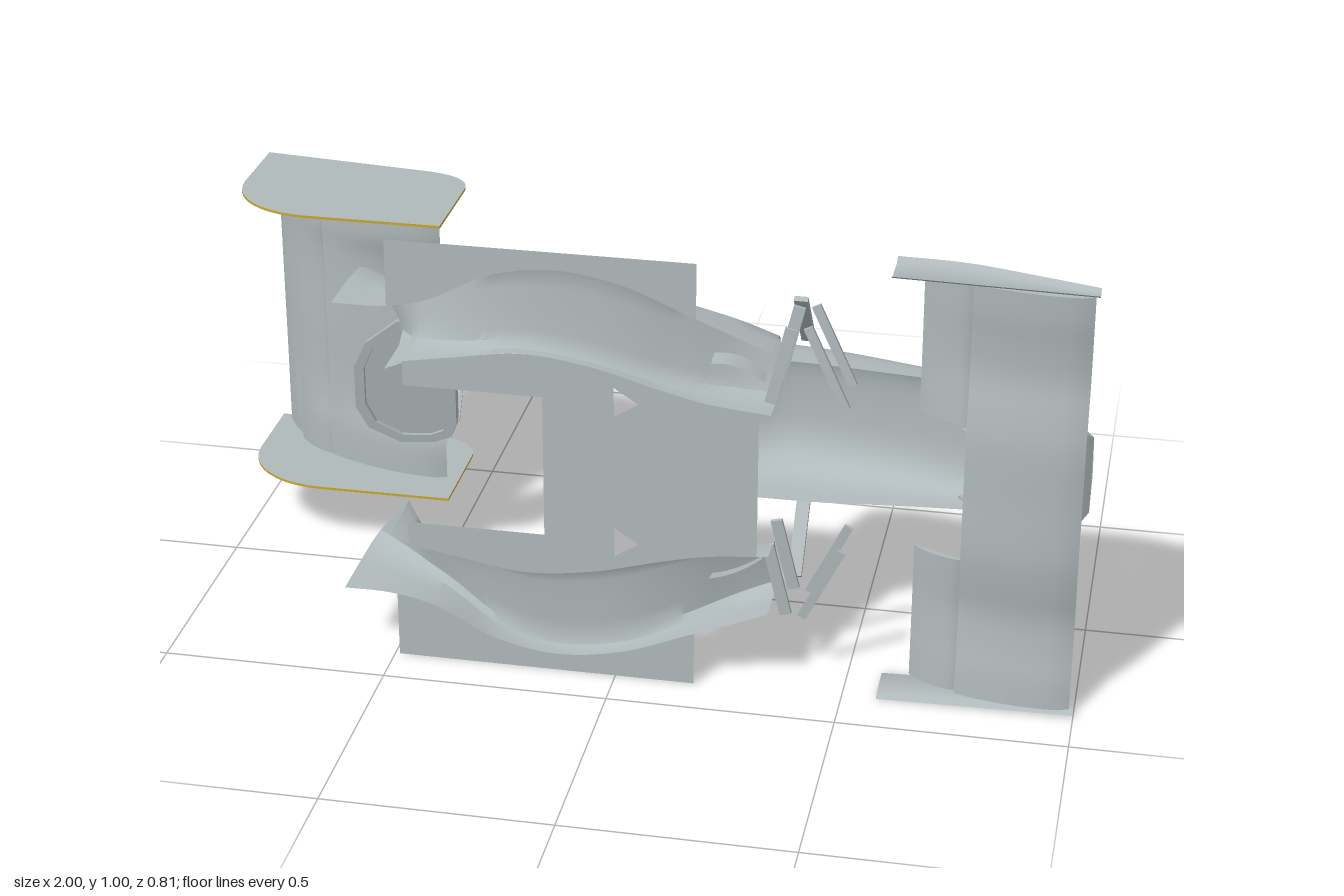
import * as THREE from 'three';
import { toCreasedNormals } from 'three/addons/utils/BufferGeometryUtils.js';

const V = (x, y, z) => new THREE.Vector3(x, y, z);
// smooth curve value at x through [x, value] pairs
function curve(pairs) {
  return (x) => {
    const n = pairs.length;
    if (x <= pairs[0][0]) return pairs[0][1];
    if (x >= pairs[n - 1][0]) return pairs[n - 1][1];
    let i = 0;
    while (x > pairs[i + 1][0]) i++;
    const p = (k) => pairs[Math.min(n - 1, Math.max(0, k))];
    const slope = (k) => (p(k + 1)[1] - p(k - 1)[1]) / (p(k + 1)[0] - p(k - 1)[0]);
    const h = p(i + 1)[0] - p(i)[0], t = (x - p(i)[0]) / h, t2 = t * t, t3 = t2 * t;
    return (2 * t3 - 3 * t2 + 1) * p(i)[1] + (t3 - 2 * t2 + t) * h * slope(i)
      + (3 * t2 - 2 * t3) * p(i + 1)[1] + (t3 - t2) * h * slope(i + 1);
  };
}
const range = (a, b, n) => Array.from({ length: n + 1 }, (_, i) => a + (b - a) * i / n);

// skin a grid of cross-sections
function loft(rows, closed = false, caps = false) {
  const pos = [], idx = [], m = rows[0].length;
  rows.forEach((r) => r.forEach((p) => pos.push(p.x, p.y, p.z)));
  for (let i = 0; i < rows.length - 1; i++) {
    for (let j = 0; j < (closed ? m : m - 1); j++) {
      const a = i * m + j, b = i * m + (j + 1) % m;
      idx.push(a, b, a + m, b, b + m, a + m);
    }
  }
  if (caps) {
    for (const o of [0, (rows.length - 1) * m]) for (let j = 1; j < m - 1; j++) idx.push(o, o + j, o + j + 1);
  }
  const g = new THREE.BufferGeometry();
  g.setAttribute('position', new THREE.Float32BufferAttribute(pos, 3));
  g.setIndex(idx);
  return toCreasedNormals(g, 0.7);
}

// aerofoil section between leading and trailing points
function foil(y, x0, z0, x1, z1, thick, camber) {
  const pts = [], n = 10;
  for (let k = 0; k < 2 * n; k++) {
    const t = k <= n ? k / n : 2 - k / n;
    const half = thick * 1.9 * Math.sqrt(t) * (1 - t) + 0.001;
    const z = z0 + (z1 - z0) * t + camber * 4 * t * (1 - t) + (k <= n ? -half : half);
    pts.push(V(x0 + (x1 - x0) * t, y, z));
  }
  return pts;
}

export function createModel() {
  const body = new THREE.MeshStandardMaterial({ color: 0xb0b9bb, side: THREE.DoubleSide });
  body.name = 'body grey';
  const trim = new THREE.MeshStandardMaterial({ color: 0xc9a92c, side: THREE.DoubleSide });
  trim.name = 'yellow edge';
  const model = new THREE.Group();
  model.name = 'racingCarBodywork';
  const add = (name, geo, mat = body) => {
    const mesh = new THREE.Mesh(geo, mat);
    mesh.name = name;
    model.add(mesh);
    return mesh;
  };
  const bar = (name, a, b, w, t) => {
    const mesh = add(name, new THREE.BoxGeometry(w, t, a.distanceTo(b)));
    mesh.up.set(0, 0, 1);
    mesh.position.copy(a).add(b).multiplyScalar(0.5);
    mesh.lookAt(b);
  };
  const sides = [['left', 1], ['right', -1]];

  // underfloor tunnels: outer edge, inner edge (from centre line) and roof
  const outer = curve([[-0.61, 0.345], [-0.5, 0.347], [-0.4, 0.37], [-0.27, 0.435], [-0.13, 0.46], [0.02, 0.437],
    [0.15, 0.385], [0.25, 0.345], [0.335, 0.31]]);
  const inner = curve([[-0.61, 0.2], [-0.5, 0.215], [-0.35, 0.24], [-0.2, 0.262], [-0.05, 0.245], [0.1, 0.205],
    [0.2, 0.182], [0.335, 0.168]]);
  const roof = curve([[-0.61, 0.16], [-0.5, 0.24], [-0.4, 0.295], [-0.25, 0.342], [-0.1, 0.355], [0.03, 0.352],
    [0.15, 0.326], [0.25, 0.293], [0.335, 0.28]]);
  const floorZ = 0.4;
  for (const [label, sg] of sides) {
    const rows = range(-0.61, 0.335, 48).map((x) => {
      const o = outer(x), n = inner(x), r = roof(x), d = floorZ - r, w = o - n;
      const section = [[o, floorZ], [o, r + d * 0.5], [o - 0.004, r + d * 0.15], [o - 0.02, r], [o - w * 0.3, r + d * 0.03],
        [n + w * 0.45, r + d * 0.1], [n + w * 0.2, r + d * 0.17], [n + w * 0.07, r + d * 0.25], [n, r + d * 0.5], [n, floorZ]];
      const rear = Math.max(0, (-0.45 - x) / 0.16);
      return section.map(([s, z]) => V(x + rear * 0.11 * (o - s) / w, 0.5 + sg * s, z));
    });
    add(label + 'Tunnel', loft(rows));
    // outer floor strip
    add(label + 'FloorEdge', loft(range(-0.49, 0.175, 36).map((x) =>
      [V(x, 0.5 + sg * outer(x), floorZ), V(x, 0.5 + sg * 0.5, floorZ)])));
    // turning vane in the tunnel inlet
    add(label + 'InletVane', loft(range(0, 1, 8).map((t) => {
      const x = 0.2 + 0.11 * t, s = 0.265 - 0.045 * t * t;
      return [V(x, 0.5 + sg * s, roof(x) + 0.01), V(x, 0.5 + sg * (s - 0.008), roof(x) + 0.05)];
    })));
  }

  // centre floor with engine opening and two triangular holes
  const floor = new THREE.Shape();
  const xs = range(-0.46, 0.31, 36);
  floor.moveTo(-0.155, 0.335);
  floor.lineTo(-0.46, 0.335);
  xs.forEach((x) => floor.lineTo(x, 0.5 - inner(x)));
  xs.slice().reverse().forEach((x) => floor.lineTo(x, 0.5 + inner(x)));
  floor.lineTo(-0.46, 0.665);
  floor.lineTo(-0.155, 0.665);
  for (const [, sg] of sides) {
    const c = 0.5 + sg * 0.167;
    floor.holes.push(new THREE.Path([new THREE.Vector2(0, c - 0.034), new THREE.Vector2(0.053, c), new THREE.Vector2(0, c + 0.034)]));
  }
  add('centreFloor', new THREE.ShapeGeometry(floor).translate(0, 0, floorZ));

  // nose shell: open below at the rear, closed towards the tip
  const top = curve([[0.23, -0.038], [0.28, -0.05], [0.33, -0.05], [0.5, -0.022], [0.7, 0.03], [0.85, 0.09], [0.94, 0.145], [0.98, 0.18], [0.998, 0.205]]);
  const halfW = curve([[0.23, 0.17], [0.4, 0.168], [0.6, 0.158], [0.75, 0.152], [0.88, 0.142], [0.96, 0.122], [0.998, 0.09]]);
  const low = curve([[0.735, 0.285], [0.86, 0.302], [0.92, 0.282], [0.97, 0.245], [0.998, 0.212]]);
  const arch = (x, zb, skew) => range(0, Math.PI, 24).map((a) => {
    const c = Math.cos(a), s = Math.sin(a);
    const h = Math.pow(Math.abs(s), 0.62);
    return V(x + skew * (1 - h), 0.5 + halfW(x) * Math.sign(c) * Math.pow(Math.abs(c), 0.62), zb + (top(x) - zb) * h);
  });
  add('noseCowl', loft(range(0.23, 0.735, 20).map((x) => arch(x, 0.13, 0.03 * Math.max(0, 1 - (x - 0.23) / 0.2)))));
  const tipRows = [...range(0.735, 0.94, 8), 0.96, 0.975, 0.987, 0.998].map((x) => arch(x, low(x), 0));
  add('noseTip', loft(tipRows, true));
  add('noseTipEnd', loft([tipRows[tipRows.length - 1], tipRows[tipRows.length - 1].map(() => V(1, 0.5, 0.208))]));

  // front wing
  const wave = curve([[0, 0.008], [0.13, 0.008], [0.2, 0], [0.28, -0.012], [0.36, -0.008], [0.42, 0], [0.485, 0.004]]);
  add('frontWing', loft(range(-0.484, 0.484, 48).map((s) => {
    const w = wave(Math.abs(s));
    return foil(0.5 + s, 0.99, 0.372 + w, 0.74, 0.352 + w, 0.011, 0.008);
  }), true, true));
  for (const [label, sg] of sides) {
    add(label + 'FrontFlap', loft(range(0.16, 0.482, 16).map((s) =>
      foil(0.5 + sg * s, 0.745, 0.342 + wave(s) * 0.6, 0.635, 0.297 + wave(s) * 0.3, 0.006, 0.008)), true, true));
    const plateTop = curve([[0.575, 0.278], [0.72, 0.28], [0.87, 0.312], [0.998, 0.343]]);
    add(label + 'FrontEndplate', loft(range(0.575, 0.998, 16).map((x) => {
      const k = (0.998 - x) / 0.423, z = plateTop(x), y = 0.483 + 0.008 * k;
      return [V(x, 0.5 + sg * (y + 0.009), z), V(x, 0.5 + sg * y, z + 0.012), V(x, 0.5 + sg * y, 0.372), V(x, 0.5 + sg * (y + 0.009), 0.387)];
    })));
    const at = (x, s, z) => V(x, 0.5 + sg * s, z);
    bar(label + 'WingMount', at(0.72, 0.08, 0.21), at(0.87, 0.08, 0.345), 0.008, 0.008);

    // front suspension arms and push rod
    bar(label + 'PushRod', at(0.36, 0.185, 0.04), at(0.36, 0.337, 0.17), 0.03, 0.012);
    for (const [name, z] of [['Upper', 0.222], ['Lower', 0.337]]) {
      bar(label + name + 'FrontArm', at(0.4, 0.345, z - 0.006), at(0.485, 0.17, z + 0.006), 0.02, 0.009);
      bar(label + name + 'RearArm', at(0.365, 0.34, z - 0.004), at(0.325, 0.17, z + 0.004), 0.026, 0.009);
    }
  }

  // rear wing elements, stepped towards the middle
  const step = curve([[0, 1], [0.14, 1], [0.2, 0.7], [0.25, 0.12], [0.29, 0], [0.345, 0]]);
  const elements = [
    ['rearMainPlane', -0.52, -0.15, -0.82, -0.215, 0.014, 0.012, 0.035],
    ['rearMiddleFlap', -0.81, -0.222, -0.915, -0.287, 0.008, 0.01, 0.014],
    ['rearTopFlap', -0.9, -0.3, -0.975, -0.387, 0.007, 0.01, 0.01],
  ];
  for (const [name, x0, z0, x1, z1, th, camber, rise] of elements) {
    add(name, loft(range(-0.343, 0.343, 48).map((s) => {
      const k = step(Math.abs(s)) * rise;
      return foil(0.5 + s, x0, z0 - k, x1, z1 - k * 0.15, th, camber);
    }), true, true));
  }

  // rear endplates with coloured edges
  const plate = new THREE.Shape();
  plate.moveTo(-1, -0.405);
  plate.lineTo(-0.6, -0.36);
  plate.bezierCurveTo(-0.53, -0.35, -0.49, -0.32, -0.49, -0.27);
  plate.lineTo(-0.49, -0.045);
  plate.lineTo(-0.8, -0.045);
  plate.bezierCurveTo(-0.91, -0.045, -1, -0.12, -1, -0.22);
  plate.closePath();
  for (const [label, sg] of sides) {
    const g = new THREE.ExtrudeGeometry(plate, { depth: 0.006, bevelEnabled: false, curveSegments: 10 });
    g.rotateX(Math.PI / 2).translate(0, 0.503 + sg * 0.344, 0);
    add(label + 'RearEndplate', g, [body, trim]);

    // wing support truss
    const y = 0.5 + sg * 0.115;
    const truss = [[-0.49, -0.245, -0.3, -0.242], [-0.49, -0.31, -0.455, -0.305], [-0.455, -0.305, -0.3, -0.242],
      [-0.455, -0.305, -0.42, -0.243], [-0.42, -0.243, -0.4, -0.283], [-0.49, -0.245, -0.455, -0.305], [-0.49, -0.2, -0.45, -0.01]];
    truss.forEach(([x0, z0, x1, z1], i) => bar(label + 'WingStay' + i, V(x0, y, z0), V(x1, y, z1), 0.006, 0.006));
  }
  bar('diagonalStay', V(-0.45, 0.49, -0.02), V(-0.3, 0.613, -0.242), 0.006, 0.006);

  // slanted tail panel with a raised rim
  const outline = [[-0.66, 0.55], [-0.635, 0.605], [-0.57, 0.65], [-0.5, 0.66], [-0.465, 0.652], [-0.452, 0.62],
    [-0.452, 0.38], [-0.465, 0.348], [-0.5, 0.34], [-0.57, 0.35], [-0.635, 0.395], [-0.66, 0.45]]
    .map(([x, y]) => new THREE.Vector2(x, y));
  const inset = outline.map((p) => new THREE.Vector2(-0.55 + (p.x + 0.55) * 0.82, 0.5 + (p.y - 0.5) * 0.88));
  const panel = (name, shape, depth) => {
    const g = new THREE.ExtrudeGeometry(shape, { depth, bevelEnabled: false });
    const p = g.attributes.position;
    for (let i = 0; i < p.count; i++) p.setZ(i, p.getZ(i) - 0.46 * (p.getX(i) + 0.45) - 0.018);
    g.computeVertexNormals();
    add(name, g);
  };
  const rim = new THREE.Shape(outline);
  rim.holes.push(new THREE.Path(inset));
  panel('tailPanelRim', rim, 0.02);
  panel('tailPanel', new THREE.Shape(inset), 0.01);

  return model;
}
